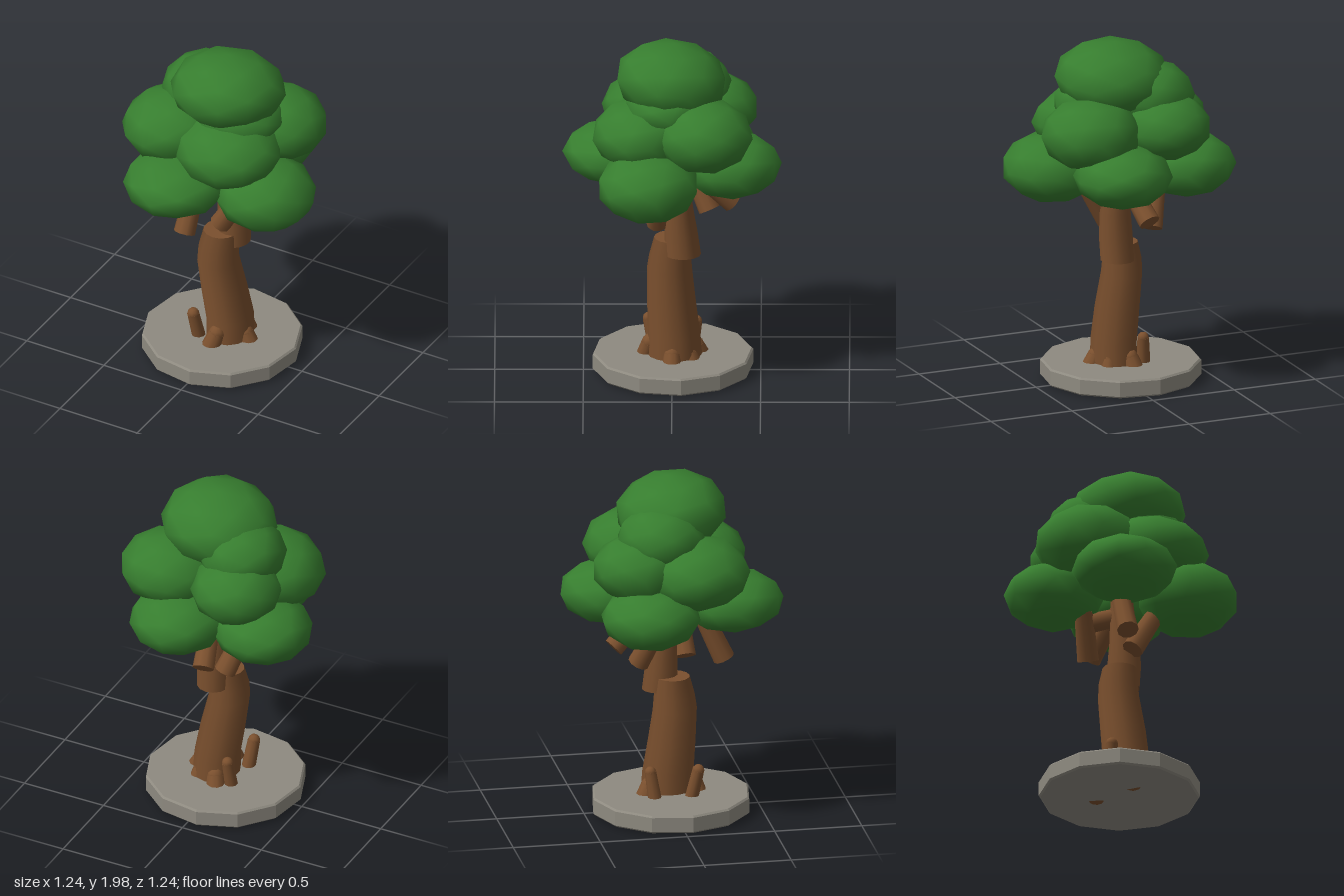
import * as THREE from 'three';

const leaf = new THREE.MeshStandardMaterial({ color: 0x377e2f });
leaf.name = 'leafGreen';
const bark = new THREE.MeshStandardMaterial({ color: 0x7b502e });
bark.name = 'barkBrown';
const stone = new THREE.MeshStandardMaterial({ color: 0x8e8a80 });
stone.name = 'stoneGrey';

function add(group, name, geometry, material) {
  const mesh = new THREE.Mesh(geometry, material);
  mesh.name = name;
  group.add(mesh);
  return mesh;
}

// Upright limb made of level rings: [x, y, z, radiusX, radiusZ] from bottom to top
function ringLimb(rings, sides = 14) {
  const n = rings.length - 1;
  const geometry = new THREE.CylinderGeometry(1, 1, 1, sides, n);
  const p = geometry.attributes.position;
  for (let i = 0; i < p.count; i++) {
    const [x, y, z, rx, rz] = rings[Math.round((p.getY(i) + 0.5) * n)];
    p.setXYZ(i, x + p.getX(i) * rx, y, z + p.getZ(i) * rz);
  }
  return geometry;
}

// Straight tapered limb between two points, with a rounded far end
function stick(group, name, from, to, r0, r1) {
  const a = new THREE.Vector3(...from), b = new THREE.Vector3(...to);
  const dir = b.clone().sub(a);
  const mesh = add(group, name, new THREE.CylinderGeometry(r1, r0, dir.length(), 10), bark);
  mesh.position.copy(a).add(b).multiplyScalar(0.5);
  mesh.quaternion.setFromUnitVectors(new THREE.Vector3(0, 1, 0), dir.normalize());
  add(group, name + 'Tip', new THREE.SphereGeometry(r1, 10, 6), bark).position.copy(b);
}

export function createModel() {
  const tree = new THREE.Group();
  tree.name = 'tree';

  // Bevelled twelve-sided stone base
  const profile = [[0, 0.02], [0.445, 0.02], [0.455, 0.03], [0.455, 0.113], [0.445, 0.123], [0, 0.123]];
  const disc = new THREE.LatheGeometry(profile.map(([x, y]) => new THREE.Vector2(x, y)), 12).toNonIndexed();
  disc.computeVertexNormals();
  const base = add(tree, 'base', disc, stone);
  base.position.set(-0.02, 0, -0.005);
  base.rotation.y = 0.1;

  // Trunk in two overlapping lengths
  add(tree, 'lowerTrunk', ringLimb([
    [0.03, 0.03, -0.018, 0.132, 0.158],
    [0.027, 0.24, -0.012, 0.13, 0.148],
    [0.0, 0.42, 0.003, 0.128, 0.138],
    [-0.034, 0.62, 0.015, 0.117, 0.127],
    [-0.035, 0.7, 0.012, 0.113, 0.118],
    [-0.022, 0.81, 0.005, 0.1, 0.097],
  ]), bark);
  add(tree, 'upperTrunk', ringLimb([
    [0.025, 0.725, -0.06, 0.096, 0.103],
    [0.03, 0.86, -0.05, 0.097, 0.094],
    [0.03, 1.0, -0.04, 0.09, 0.08],
    [0.015, 1.15, -0.035, 0.074, 0.062],
    [0.0, 1.35, -0.03, 0.06, 0.055],
  ]), bark);

  // Short branches under the crown
  const branches = [
    [[-0.1, 0.925, 0.285], [-0.09, 1.22, 0.15]],
    [[0.02, 0.91, 0.085], [0.18, 1.18, 0.07]],
    [[-0.12, 0.935, -0.21], [-0.2, 1.18, -0.1]],
    [[-0.05, 1.01, -0.34], [0.0, 1.2, -0.14]],
  ];
  for (const [from, to] of branches) stick(tree, 'branch', from, to, 0.062, 0.052);
  stick(tree, 'branchJoint', [0.02, 1.17, -0.04], [-0.16, 1.13, -0.15], 0.052, 0.056);

  // Stubby roots around the trunk foot
  const roots = [
    [[-0.105, 0.03, 0.08], [-0.13, 0.275, 0.132], 0.042, 0.035],
    [[-0.025, 0.035, 0.165], [0.02, 0.19, 0.125], 0.062, 0.047],
    [[0.18, 0.05, 0], [0.13, 0.155, 0], 0.062, 0.05],
    [[0.11, 0.05, -0.13], [0.09, 0.155, -0.1], 0.05, 0.04],
    [[-0.045, 0.05, -0.175], [-0.02, 0.16, -0.13], 0.062, 0.05],
    [[-0.12, 0.02, -0.1], [-0.1, 0.27, -0.137], 0.042, 0.033],
  ];
  for (const [from, to, r0, r1] of roots) stick(tree, 'root', from, to, r0, r1);

  // Leaf clumps: centre, radii, turn, forward tilt, sideways tilt
  const clumps = [
    [[0.025, 1.784, 0.005], [0.335, 0.214, 0.32], 0.3, -0.1, 0.04],
    [[-0.165, 1.685, -0.085], [0.255, 0.195, 0.255], 1.1, 0, 0],
    [[0.1, 1.65, 0.02], [0.27, 0.16, 0.25], 0.6, 0, 0],
    [[-0.27, 1.51, 0.1], [0.3, 0.205, 0.3], 0.9, 0, 0.1],
    [[0.12, 1.5, 0.17], [0.31, 0.195, 0.285], 0.2, 0.1, 0],
    [[0.24, 1.525, -0.18], [0.29, 0.205, 0.28], 1.4, 0, 0],
    [[-0.2, 1.53, -0.22], [0.26, 0.195, 0.27], 0.5, 0, 0],
    [[-0.135, 1.285, 0.315], [0.3, 0.17, 0.305], 0, 0, 0],
    [[0.34, 1.258, 0.135], [0.29, 0.2, 0.29], 0.7, 0, 0],
    [[-0.345, 1.28, -0.18], [0.285, 0.18, 0.285], 1.2, 0, 0],
    [[0.11, 1.3, -0.33], [0.28, 0.18, 0.29], 0.1, 0, 0],
  ];
  for (const [centre, radii, turn, forward, sideways] of clumps) {
    const ball = new THREE.IcosahedronGeometry(1, 1);
    ball.rotateY(turn);
    const clump = add(tree, 'leafClump', ball, leaf);
    clump.position.set(...centre);
    clump.scale.set(...radii);
    clump.rotation.set(forward, 0, sideways);
  }
  return tree;
}
